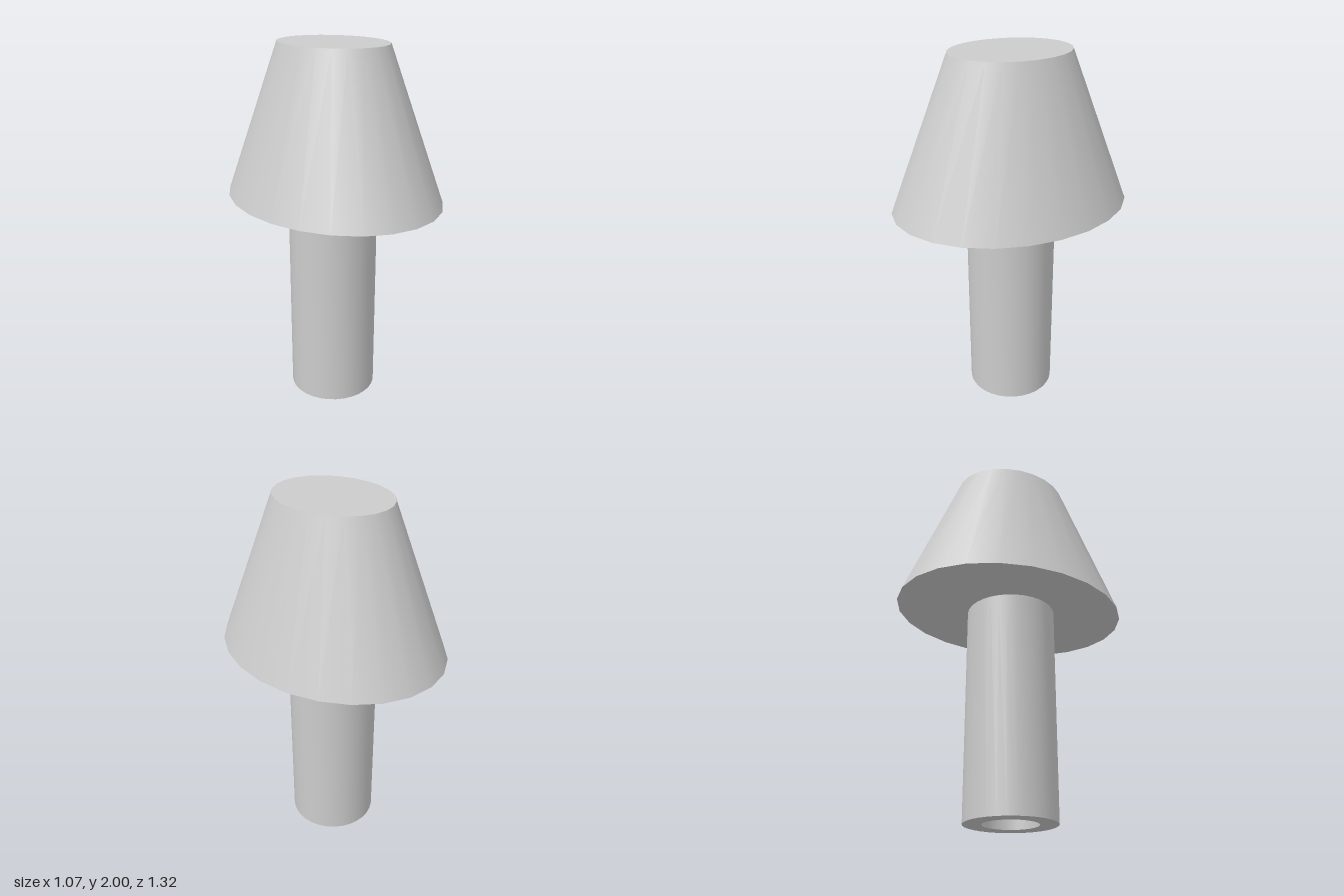
import * as THREE from 'three';
import { toCreasedNormals } from 'three/addons/utils/BufferGeometryUtils.js';

const SHADE_BASE = 1.18;
const HEIGHT = 2;

export function createModel() {
  const group = new THREE.Group();
  const material = new THREE.MeshStandardMaterial({ color: 0xcccccc });

  const add = (name, geometry) => {
    const mesh = new THREE.Mesh(geometry, material);
    mesh.name = name;
    group.add(mesh);
    return mesh;
  };

  // Hollow stem: down the bore, across the bottom rim, up the outside
  const profile = [
    [0.147, SHADE_BASE],
    [0.147, 0],
    [0.245, 0],
    [0.245, SHADE_BASE],
  ].map(([r, y]) => new THREE.Vector2(r, y));
  add('stem', toCreasedNormals(new THREE.LatheGeometry(profile, 32), 0.6));

  // Closed tapered shade, oval in plan and deeper than it is wide
  const shadeHeight = HEIGHT - SHADE_BASE;
  const shade = new THREE.CylinderGeometry(0.5, 1, shadeHeight, 24);
  shade.scale(0.535, 1, 0.66);
  add('shade', shade).position.y = SHADE_BASE + shadeHeight / 2;

  return group;
}
